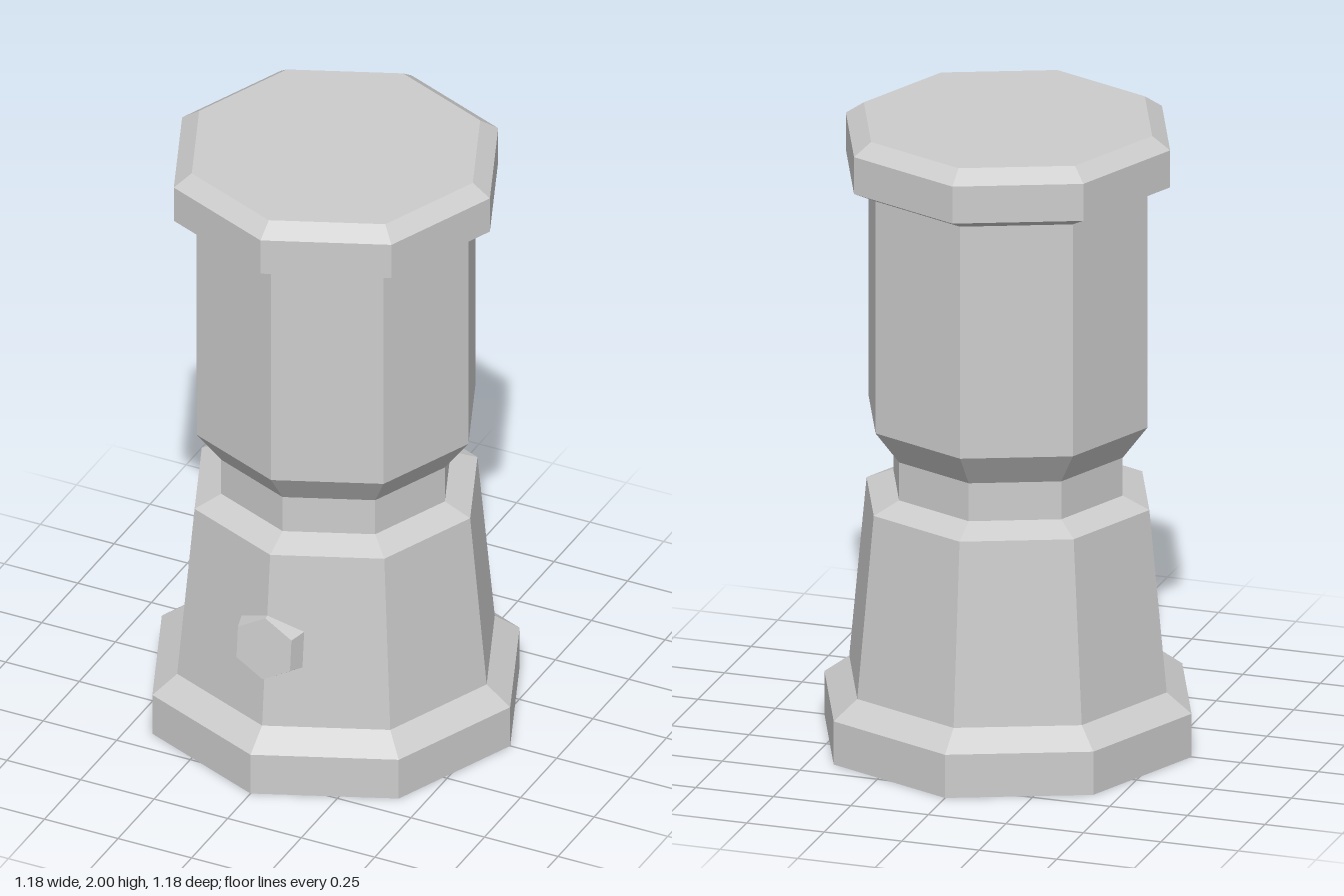
import * as THREE from 'three';

export function createModel() {
  const group = new THREE.Group();
  const material = new THREE.MeshStandardMaterial({ color: 0xcccccc, flatShading: true });
  const add = (name, geometry) => {
    const mesh = new THREE.Mesh(geometry, material);
    mesh.name = name;
    group.add(mesh);
    return mesh;
  };

  // Octagonal part turned from [radius, height] pairs, with a corner facing the front
  const turned = (name, profile) =>
    add(name, new THREE.LatheGeometry(profile.map(([r, y]) => new THREE.Vector2(r, y)), 8));

  // Foot rim, tapered base and neck
  turned('base', [
    [0, 0], [0.592, 0], [0.592, 0.14], [0.512, 0.2],
    [0.456, 0.785], [0.37, 0.822], [0.37, 0.945],
  ]);

  // Jar widening from the neck
  turned('jar', [[0.37, 0.945], [0.45, 1.052], [0.45, 1.805]]);

  // Bevelled lid
  turned('lid', [[0.45, 1.805], [0.523, 1.84], [0.523, 1.96], [0.465, 2], [0, 2]]);

  // Hexagonal knob, leaning back with the slope of the base
  const knob = add('knob', new THREE.CylinderGeometry(0.105, 0.13, 0.08, 6));
  knob.position.set(0, 0.466, 0.459);
  knob.rotation.x = Math.PI / 2 - 0.094;

  return group;
}
